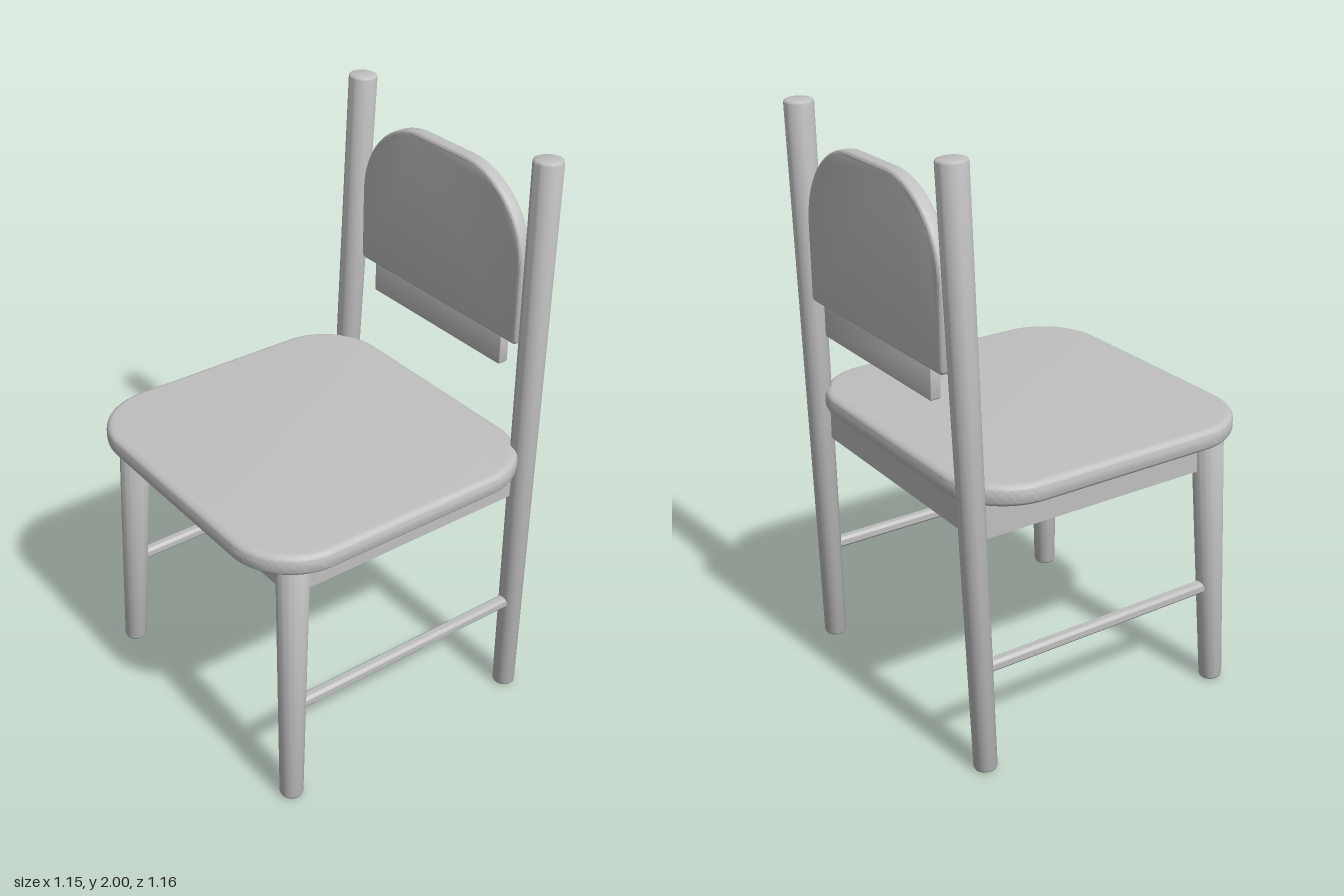
import * as THREE from 'three';
import { toCreasedNormals } from 'three/addons/utils/BufferGeometryUtils.js';

const paint = new THREE.MeshStandardMaterial({ color: 0xc0c0c0 });
paint.name = 'light grey';

function add(group, name, geometry, x = 0, y = 0, z = 0) {
  const mesh = new THREE.Mesh(geometry, paint);
  mesh.name = name;
  mesh.position.set(x, y, z);
  group.add(mesh);
  return mesh;
}

// Round tapered bar between two points, with softened ends
function bar(group, name, from, to, r0, r1, soft) {
  const a = new THREE.Vector3(...from), b = new THREE.Vector3(...to);
  const axis = b.clone().sub(a), len = axis.length();
  const profile = [
    [0, 0], [r0 - soft, 0], [r0 - soft * 0.3, soft * 0.3], [r0, soft],
    [r1, len - soft], [r1 - soft * 0.3, len - soft * 0.3], [r1 - soft, len], [0, len],
  ].map(([r, y]) => new THREE.Vector2(r, y));
  const geometry = toCreasedNormals(new THREE.LatheGeometry(profile, 32), 0.9);
  const mesh = add(group, name, geometry, ...from);
  mesh.quaternion.setFromUnitVectors(new THREE.Vector3(0, 1, 0), axis.normalize());
}

// Outline with separate lower and upper corner radii
function outline(x0, x1, y0, y1, low, high) {
  const s = new THREE.Shape();
  s.moveTo(x0 + low, y0);
  s.lineTo(x1 - low, y0);
  s.absarc(x1 - low, y0 + low, low, -Math.PI / 2, 0, false);
  s.lineTo(x1, y1 - high);
  s.absarc(x1 - high, y1 - high, high, 0, Math.PI / 2, false);
  s.lineTo(x0 + high, y1);
  s.absarc(x0 + high, y1 - high, high, Math.PI / 2, Math.PI, false);
  s.lineTo(x0, y0 + low);
  s.absarc(x0 + low, y0 + low, low, Math.PI, Math.PI * 1.5, false);
  return s;
}

// Slab with rounded rims, centred on z = 0
function slab(shape, thickness, bevel) {
  const geometry = new THREE.ExtrudeGeometry(shape, {
    depth: thickness - 2 * bevel, bevelEnabled: true, bevelThickness: bevel,
    bevelSize: bevel, bevelOffset: -bevel, bevelSegments: 5, curveSegments: 16,
  });
  geometry.translate(0, 0, bevel - thickness / 2);
  return toCreasedNormals(geometry, 0.6);
}

export function createModel() {
  const chair = new THREE.Group();
  chair.name = 'chair';

  // Seat
  const seat = slab(outline(-0.573, 0.573, -0.58, 0.52, 0.23, 0.23), 0.073, 0.025);
  seat.rotateX(-Math.PI / 2);
  add(chair, 'seat', seat, 0, 0.9635, 0);

  // Legs, back posts, side stretchers and side aprons
  for (const [side, s] of [['left', 1], ['right', -1]]) {
    bar(chair, side + 'FrontLeg', [s * 0.505, 0.003, 0.475], [s * 0.47, 0.945, 0.435], 0.04, 0.054, 0.012);
    bar(chair, side + 'BackPost', [s * 0.505, 0.003, -0.473], [s * 0.454, 1.998, -0.531], 0.039, 0.049, 0.009);
    bar(chair, side + 'Stretcher', [s * 0.492, 0.37, 0.455], [s * 0.495, 0.37, -0.48], 0.022, 0.022, 0.004);
    add(chair, side + 'Apron', new THREE.BoxGeometry(0.05, 0.12, 0.835), s * 0.455, 0.87, -0.0125);
  }

  // Front and rear aprons
  add(chair, 'frontApron', new THREE.BoxGeometry(0.94, 0.12, 0.05), 0, 0.87, 0.43);
  add(chair, 'rearApron', new THREE.BoxGeometry(0.96, 0.12, 0.05), 0, 0.87, -0.455);

  // Arched back panel and the rail below it
  add(chair, 'backPanel', slab(outline(-0.405, 0.405, 1.34, 1.9, 0.018, 0.3), 0.05, 0.012), 0, 0, -0.523);
  add(chair, 'backRail', slab(outline(-0.332, 0.332, 1.235, 1.345, 0.008, 0.008), 0.036, 0.004), 0, 0, -0.523);

  return chair;
}
